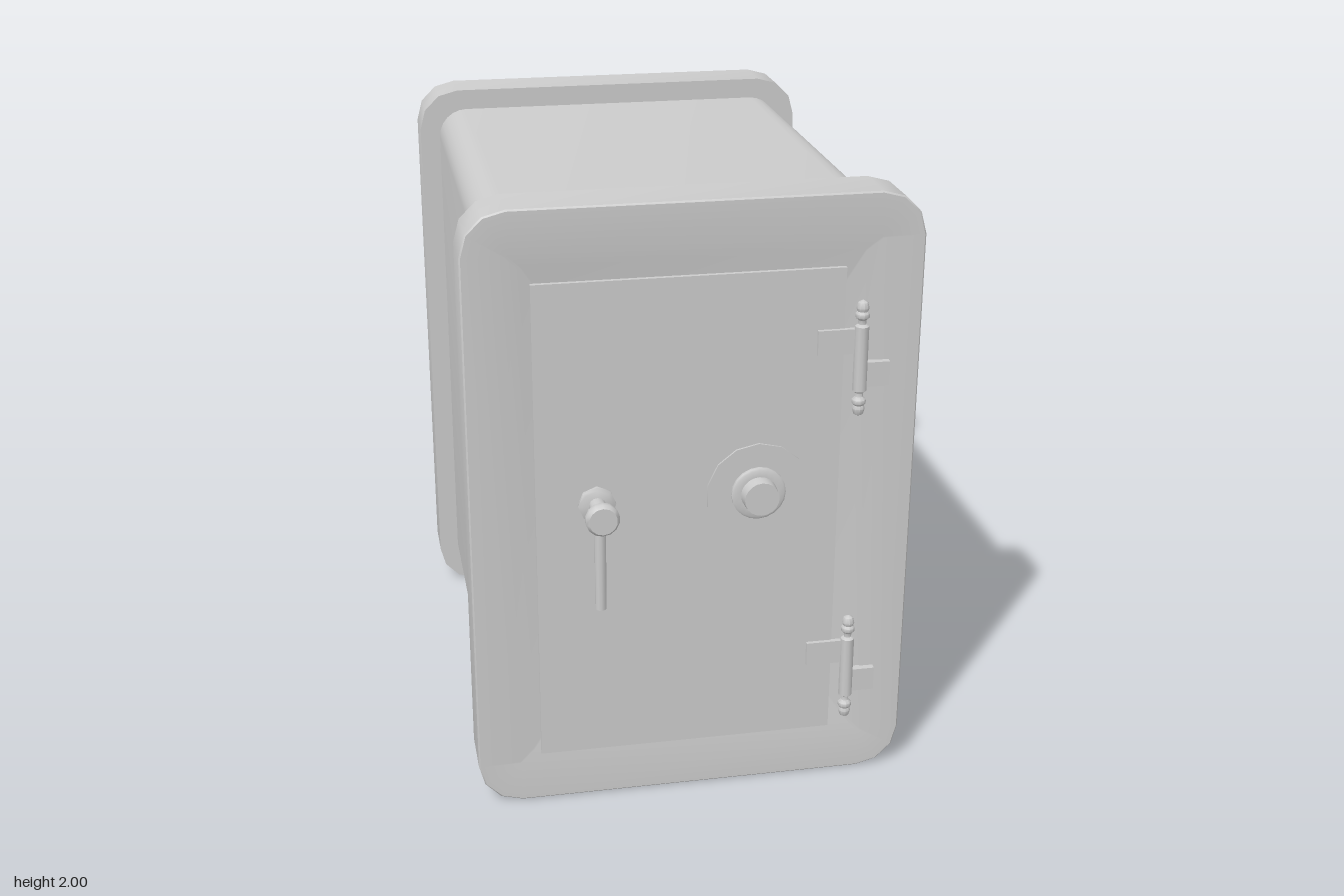
import * as THREE from 'three';
import { toCreasedNormals } from 'three/addons/utils/BufferGeometryUtils.js';

const material = new THREE.MeshStandardMaterial({ color: 0xcccccc });

function add(parent, name, geometry, x = 0, y = 0, z = 0) {
  const mesh = new THREE.Mesh(geometry, material);
  mesh.name = name;
  mesh.position.set(x, y, z);
  parent.add(mesh);
  return mesh;
}

// Rounded rectangle as a counter-clockwise loop in the xy plane
function roundedLoop([hw, hh, r, z], steps) {
  const loop = [];
  const corners = [[1, 1], [-1, 1], [-1, -1], [1, -1]];
  corners.forEach(([sx, sy], c) => {
    for (let i = 0; i <= steps; i++) {
      const a = (c + i / steps) * Math.PI / 2;
      loop.push([sx * (hw - r) + r * Math.cos(a), sy * (hh - r) + r * Math.sin(a), z]);
    }
  });
  return loop;
}

// Skin over rounded rectangles [halfWidth, halfHeight, radius, z], back to front
function loft(sections, steps) {
  const loops = sections.map((s) => roundedLoop(s, steps));
  const n = loops[0].length;
  const positions = [];
  for (let k = 0; k + 1 < loops.length; k++) {
    for (let i = 0; i < n; i++) {
      const j = (i + 1) % n;
      const [a, b, c, d] = [loops[k][i], loops[k][j], loops[k + 1][j], loops[k + 1][i]];
      if (sections[k][0] > 0) positions.push(...a, ...b, ...c);
      if (sections[k + 1][0] > 0) positions.push(...a, ...c, ...d);
    }
  }
  const geometry = new THREE.BufferGeometry();
  geometry.setAttribute('position', new THREE.Float32BufferAttribute(positions, 3));
  return toCreasedNormals(geometry, 0.7);
}

// Turned part whose axis points to +z, from [radius, z] pairs
function turned(points, sides) {
  const geometry = new THREE.LatheGeometry(points.map(([r, z]) => new THREE.Vector2(r, z)), sides);
  geometry.rotateX(Math.PI / 2);
  return toCreasedNormals(geometry, 0.85);
}

function createHinge() {
  const hinge = new THREE.Group();
  hinge.name = 'hinge';
  add(hinge, 'doorPlate', new THREE.BoxGeometry(0.135, 0.08, 0.016), -0.0675, 0.055, -0.01);
  add(hinge, 'framePlate', new THREE.BoxGeometry(0.095, 0.08, 0.026), 0.0475, -0.055, -0.01);
  // Barrel with a turned finial at both ends
  const half = [[0.022, 0.105], [0.012, 0.112], [0.012, 0.125], [0.022, 0.134],
    [0.022, 0.146], [0.016, 0.153], [0.02, 0.164], [0.015, 0.182], [0, 0.19]];
  const profile = [...half.map(([r, y]) => [r, -y]).reverse(), ...half];
  const barrel = new THREE.LatheGeometry(profile.map(([r, y]) => new THREE.Vector2(r, y)), 10);
  add(hinge, 'barrel', toCreasedNormals(barrel, 0.85));
  return hinge;
}

export function createModel() {
  const safe = new THREE.Group();
  safe.name = 'safe';

  // Main box between the two flanges
  add(safe, 'body', loft([
    [0, 0, 0, -0.85], [0.635, 0.935, 0.1, -0.85], [0.635, 0.935, 0.1, 0.72], [0, 0, 0, 0.72],
  ], 6), 0, 0.995, 0);

  // Flanges, each with a shallow sunken panel on its outer face
  const flange = loft([
    [0, 0, 0, 0], [0.705, 1, 0.14, 0], [0.705, 1, 0.14, 0.17], [0.7, 0.995, 0.135, 0.175],
    [0.57, 0.865, 0.01, 0.175], [0.525, 0.82, 0.01, 0.163], [0, 0, 0, 0.163],
  ], 3);
  add(safe, 'frontFlange', flange, 0, 1, 0.645);
  add(safe, 'backFlange', flange, 0, 1, -0.78).rotation.y = Math.PI;

  // Door panel
  add(safe, 'door', new THREE.BoxGeometry(0.96, 1.6, 0.03), -0.02, 0.97, 0.808);

  // Hinges
  for (const y of [1.48, 0.4]) {
    const hinge = createHinge();
    hinge.position.set(0.51, y, 0.838);
    safe.add(hinge);
  }

  // Combination dial
  const dial = new THREE.Group();
  dial.name = 'dial';
  dial.position.set(0.2, 1.05, 0.82);
  add(dial, 'dialPlate', turned([[0.165, 0], [0.165, 0.01], [0, 0.01]], 14));
  add(dial, 'dialKnob', turned([
    [0.087, 0.01], [0.087, 0.018], [0.08, 0.023], [0.058, 0.023], [0.055, 0.065], [0, 0.065],
  ], 20));
  safe.add(dial);

  // Handle: octagonal base, spindle with a round knob and hanging lever
  const handle = new THREE.Group();
  handle.name = 'handle';
  handle.position.set(-0.31, 1.05, 0.82);
  add(handle, 'handleBase', turned([[0.06, 0], [0.06, 0.012], [0.05, 0.018], [0, 0.018]], 8));
  add(handle, 'handleKnob', turned([
    [0.027, 0], [0.027, 0.095], [0.045, 0.098], [0.053, 0.106], [0.053, 0.124], [0.044, 0.135], [0, 0.135],
  ], 14));
  add(handle, 'lever', new THREE.CylinderGeometry(0.018, 0.018, 0.33, 10), 0, -0.165, 0.066);
  safe.add(handle);

  return safe;
}
